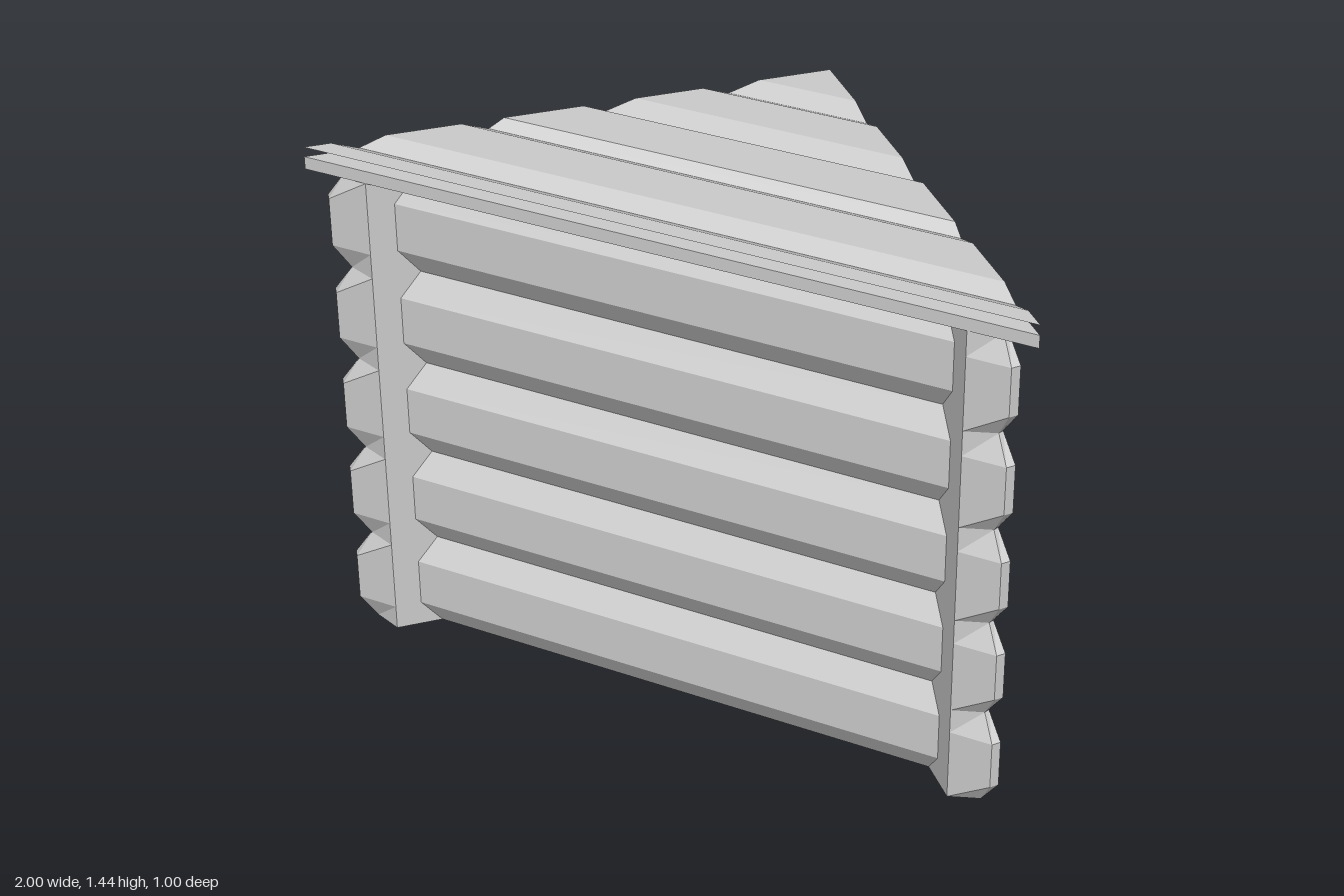
import * as THREE from 'three';

const LAYERS = 5, PITCH = 0.275, ROOF_TOP = 1.41;

// Half outlines seen from above (x, z), from the front wall round to the back corner
const FULL = [[0.77, 0.45], [0.82, 0.5], [0.935, 0.5], [0.95, 0.48], [0.86, 0.395],
  [0.80, 0.395], [0.03, -0.375], [0.06, -0.405], [0.02, -0.465]];
const SEAM = [[0.73, 0.41], [0.82, 0.5], [0.90, 0.47], [0.905, 0.455], [0.86, 0.395],
  [0.75, 0.395], [0.005, -0.35], [0.06, -0.405], [0.015, -0.435]];
const INNER = [[0.65, 0.38], [0, -0.27], [-0.65, 0.38]];

const mirror = (half) => [...half, ...half.map(([x, z]) => [-x, z]).reverse()];
const toVectors = (pts) => pts.map(([x, z]) => new THREE.Vector2(x, z));

function fromQuads(quads) {
  const pos = [];
  for (const [a, b, c, d] of quads) pos.push(...a, ...b, ...c, ...a, ...c, ...d);
  const g = new THREE.BufferGeometry();
  g.setAttribute('position', new THREE.Float32BufferAttribute(pos, 3));
  g.computeVertexNormals();
  return g;
}

// Joins closed rings of equal length; each ring is [outline, y]
function loft(rings) {
  const quads = [];
  for (let r = 0; r < rings.length - 1; r++) {
    const [p, y0] = rings[r], [q, y1] = rings[r + 1];
    p.forEach((_, i) => {
      const j = (i + 1) % p.length;
      quads.push([[p[i][0], y0, p[i][1]], [p[j][0], y0, p[j][1]],
        [q[j][0], y1, q[j][1]], [q[i][0], y1, q[i][1]]]);
    });
  }
  return fromQuads(quads);
}

export function createModel() {
  const model = new THREE.Group();
  const grey = new THREE.MeshStandardMaterial({ color: 0xcccccc });
  grey.name = 'paleGrey';
  const sheet = new THREE.MeshStandardMaterial({ color: 0xcccccc, side: THREE.DoubleSide });
  sheet.name = 'paleGreySheet';

  const add = (name, geometry, material = grey, y = 0) => {
    const mesh = new THREE.Mesh(geometry, material);
    mesh.name = name;
    mesh.position.y = y;
    model.add(mesh);
  };

  // Stacked log courses with bevelled faces and crossed corner ends
  const full = mirror(FULL), seam = mirror(SEAM);
  const course = loft([[seam, 0], [full, 0.07], [full, 0.205], [seam, PITCH]]);
  for (let i = 0; i < LAYERS; i++) add(`logCourse${i + 1}`, course, grey, i * PITCH);

  // Inside faces of the walls
  add('innerWalls', loft([[[...INNER].reverse(), 0], [[...INNER].reverse(), LAYERS * PITCH]]), sheet);

  // Underside of the lowest logs
  const foot = new THREE.Shape(toVectors(seam));
  foot.holes.push(new THREE.Path(toVectors(INNER)));
  add('wallFoot', new THREE.ShapeGeometry(foot).rotateX(Math.PI / 2));

  // Triangular roof slab
  const triangle = new THREE.Shape(toVectors([[-1, 0.5], [0, -0.5], [1, 0.5]]));
  const slab = new THREE.ExtrudeGeometry(triangle, { depth: 0.035, bevelEnabled: false });
  add('roofSlab', slab.rotateX(Math.PI / 2), grey, ROOF_TOP);

  // Roof planks: a folded sheet with bevelled grooves, open at the edges
  const hi = 1.437, lo = 1.412;
  const folds = [[0.5, hi], [0.45, hi]];
  for (const [front, valley, back] of [[0.45, 0.4, 0.35], [0.21, 0.16, 0.13],
    [-0.02, -0.06, -0.12], [-0.25, -0.3, -0.36]]) {
    folds.push([front, hi], [valley, lo], [back, hi]);
  }
  folds.push([-0.5, hi]);
  const planks = [];
  for (let i = 0; i < folds.length - 1; i++) {
    const [z0, y0] = folds[i], [z1, y1] = folds[i + 1];
    if (z0 === z1) continue;
    const w0 = z0 + 0.5, w1 = z1 + 0.5;
    planks.push([[-w0, y0, z0], [w0, y0, z0], [w1, y1, z1], [-w1, y1, z1]]);
  }
  add('roofPlanks', fromQuads(planks), sheet);

  return model;
}
